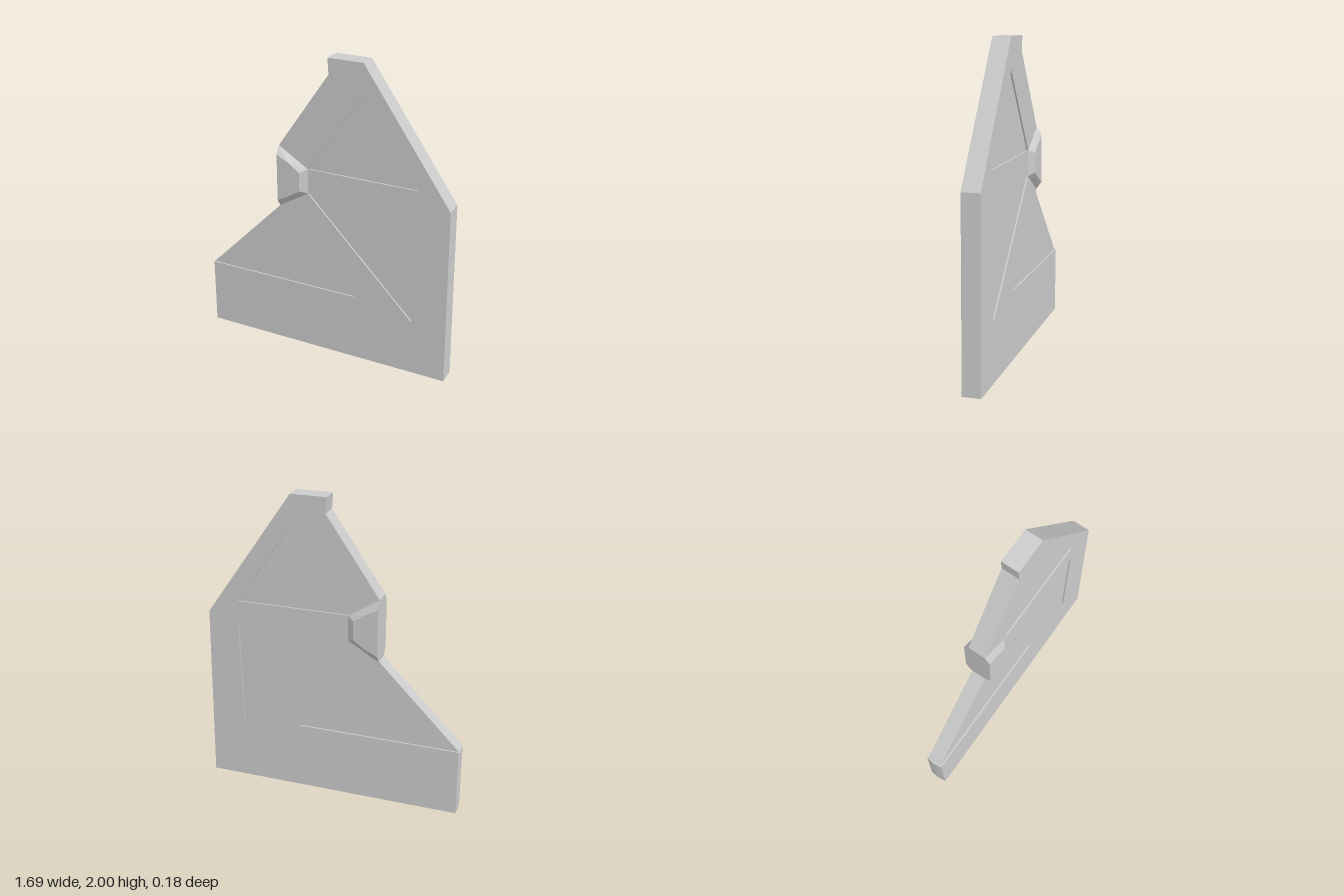
import * as THREE from 'three';
import { ConvexGeometry } from 'three/addons/geometries/ConvexGeometry.js';

const FACE = 0.058; // half thickness of the plate
const CORE = 0.048; // half thickness at the recessed panels
const BOSS = 0.092; // half thickness of the raised boss

const material = new THREE.MeshStandardMaterial({ color: 0xcccccc, flatShading: true });
const toPoints = (list) => list.map(([x, y]) => new THREE.Vector2(x, y));

function slab(outline, holes, depth) {
  const shape = new THREE.Shape(toPoints(outline));
  shape.holes = holes.map((h) => new THREE.Path(toPoints(h)));
  return new THREE.ExtrudeGeometry(shape, { depth, bevelEnabled: false });
}

export function createModel() {
  const model = new THREE.Group();
  const add = (name, geometry, z = 0) => {
    const mesh = new THREE.Mesh(geometry, material);
    mesh.name = name;
    mesh.position.z = z;
    model.add(mesh);
    return mesh;
  };

  // Outline from the bottom left corner, counter-clockwise, to the boss notch
  const outline = [
    [-0.843, 0], [0.845, 0], [0.825, 1.18], [0.255, 2], [0.025, 2],
    [0.032, 1.9], [-0.31, 1.4], [-0.31, 0.99],
  ];
  const shoulder = [-0.84, 0.45];

  // Inner plate, which forms the floors of the recesses
  add('corePlate', slab([...outline, shoulder], [], 2 * CORE), -CORE);

  // Raised ribs on both faces, with two closed panels and one open at the slope
  const panels = [
    [[0.255, 1.805], [-0.11, 1.275], [0.62, 1.275]],
    [[-0.11, 1.11], [0.61, 0.375], [0.625, 1.11]],
  ];
  const ribs = slab([...outline, [0.215, 0.45], shoulder], panels, FACE - CORE);
  add('frontRibs', ribs, CORE);
  add('backRibs', ribs, -FACE);

  // Slightly rounded end of the base
  const end = slab([
    [-0.84, -FACE], [-0.84, FACE], [-0.845, 0.036], [-0.848, 0], [-0.845, -0.036],
  ], [], 0.45);
  end.rotateX(-Math.PI / 2);
  add('roundedBaseEnd', end);

  // Boss with sloping sides, standing out from both faces
  const base = [[-0.31, 1.4], [-0.11, 1.275], [-0.11, 1.11], [-0.31, 0.99]];
  const top = [
    [-0.31, 1.35], [-0.23, 1.308], [-0.155, 1.255],
    [-0.155, 1.13], [-0.23, 1.08], [-0.31, 1.04],
  ];
  const bossPoints = [];
  for (const side of [-1, 1]) {
    for (const [x, y] of base) bossPoints.push(new THREE.Vector3(x, y, side * FACE));
    for (const [x, y] of top) bossPoints.push(new THREE.Vector3(x, y, side * BOSS));
  }
  add('boss', new ConvexGeometry(bossPoints));

  return model;
}
